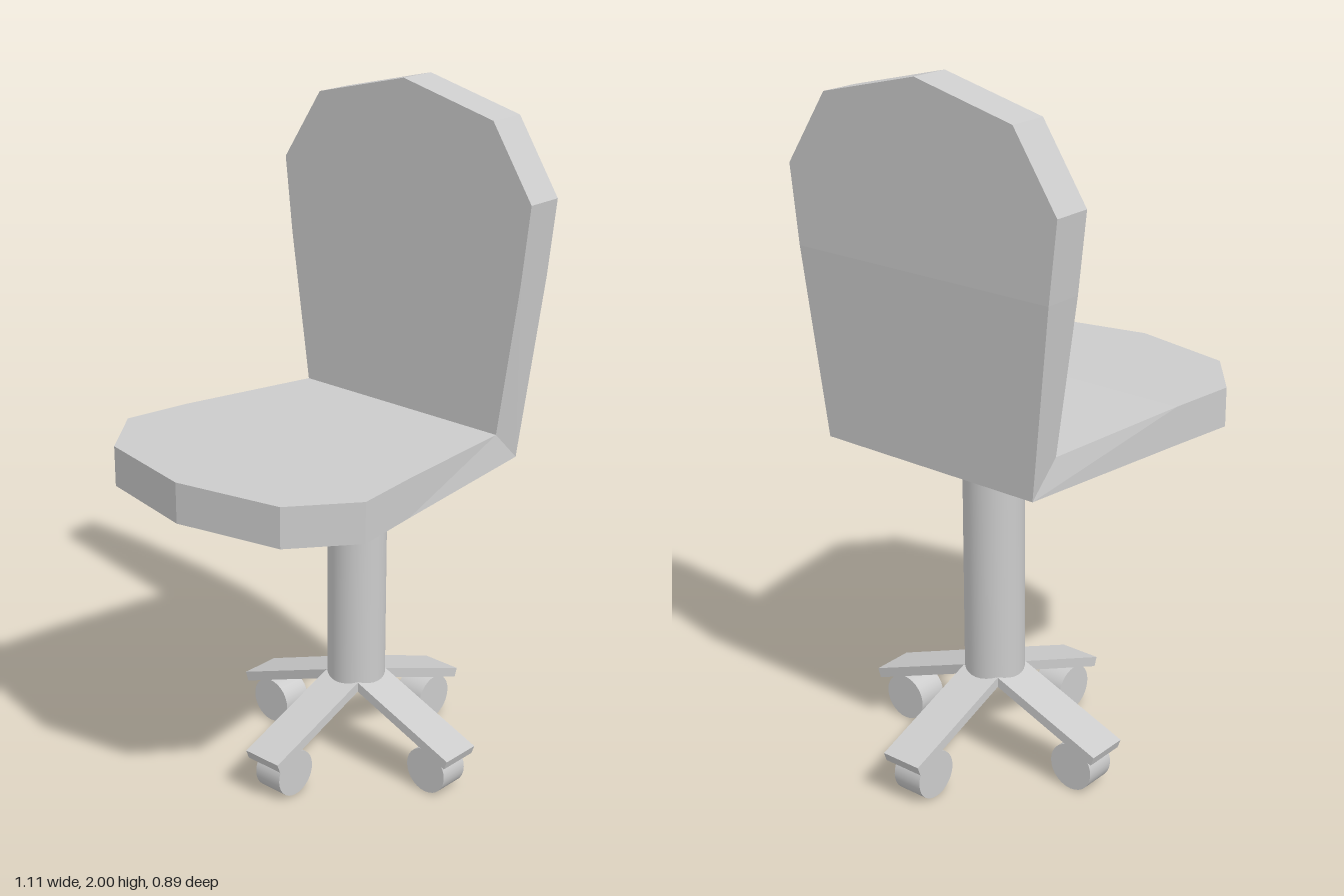
import * as THREE from 'three';

const material = new THREE.MeshStandardMaterial({ color: 0xcccccc });

// Bent shell: each station is [innerX, innerY, outerX, outerY, halfWidth], from seat tip to back top
function shellGeometry(stations) {
  const positions = [];
  const tri = (...pts) => {
    const area = new THREE.Triangle(...pts).getArea();
    if (area > 1e-6) pts.forEach((p) => positions.push(p.x, p.y, p.z));
  };
  const quad = (a, b, c, d) => { tri(a, b, c); tri(a, c, d); };
  const rings = stations.map(([ix, iy, ox, oy, w]) => ({
    il: new THREE.Vector3(ix, iy, w), ir: new THREE.Vector3(ix, iy, -w),
    ol: new THREE.Vector3(ox, oy, w), or: new THREE.Vector3(ox, oy, -w),
  }));
  for (let i = 0; i < rings.length - 1; i++) {
    const p = rings[i], q = rings[i + 1];
    quad(p.il, q.il, q.ir, p.ir); // sitting side
    quad(p.or, q.or, q.ol, p.ol); // underside and rear
    quad(p.ol, q.ol, q.il, p.il); // edge at +z
    quad(p.ir, q.ir, q.or, p.or); // edge at -z
  }
  const geometry = new THREE.BufferGeometry();
  geometry.setAttribute('position', new THREE.Float32BufferAttribute(positions, 3));
  geometry.computeVertexNormals();
  return geometry;
}

function addMesh(parent, name, geometry, x = 0, y = 0, z = 0) {
  const mesh = new THREE.Mesh(geometry, material);
  mesh.name = name;
  mesh.position.set(x, y, z);
  parent.add(mesh);
  return mesh;
}

export function createModel() {
  const chair = new THREE.Group();
  chair.name = 'swivelChair';

  // Seat and backrest in one bent slab
  addMesh(chair, 'seatAndBackrest', shellGeometry([
    [-0.555, 1.08, -0.555, 0.965, 0],
    [-0.49, 1.08, -0.49, 0.965, 0.31],
    [-0.32, 1.08, -0.32, 0.965, 0.445],
    [-0.12, 1.077, -0.12, 0.965, 0.419],
    [0.325, 1.057, 0.42, 0.965, 0.355],
    [0.325, 1.5, 0.44, 1.5, 0.42],
    [0.325, 1.72, 0.44, 1.72, 0.445],
    [0.325, 1.925, 0.44, 1.925, 0.31],
    [0.325, 2, 0.44, 2, 0],
  ]));

  // Column
  const columnX = 0.149;
  addMesh(chair, 'column', new THREE.CylinderGeometry(0.086, 0.086, 0.71, 32), columnX, 0.61, 0);

  // Four sloping legs, each with a wheel
  const profile = new THREE.Shape([
    new THREE.Vector2(0, 0.266), new THREE.Vector2(0.393, 0.113),
    new THREE.Vector2(0.403, 0.14), new THREE.Vector2(0, 0.295),
  ]);
  const legGeometry = new THREE.ExtrudeGeometry(profile, { depth: 0.125, bevelEnabled: false });
  legGeometry.translate(0, 0, -0.0625);
  const wheelGeometry = new THREE.CylinderGeometry(0.069, 0.069, 0.092, 28).rotateX(Math.PI / 2);
  for (let i = 0; i < 4; i++) {
    const arm = new THREE.Group();
    arm.name = `baseArm${i + 1}`;
    arm.position.x = columnX;
    arm.rotation.y = (i * Math.PI) / 2;
    addMesh(arm, 'leg', legGeometry);
    addMesh(arm, 'wheel', wheelGeometry, 0.311, 0.069, 0);
    chair.add(arm);
  }
  return chair;
}
